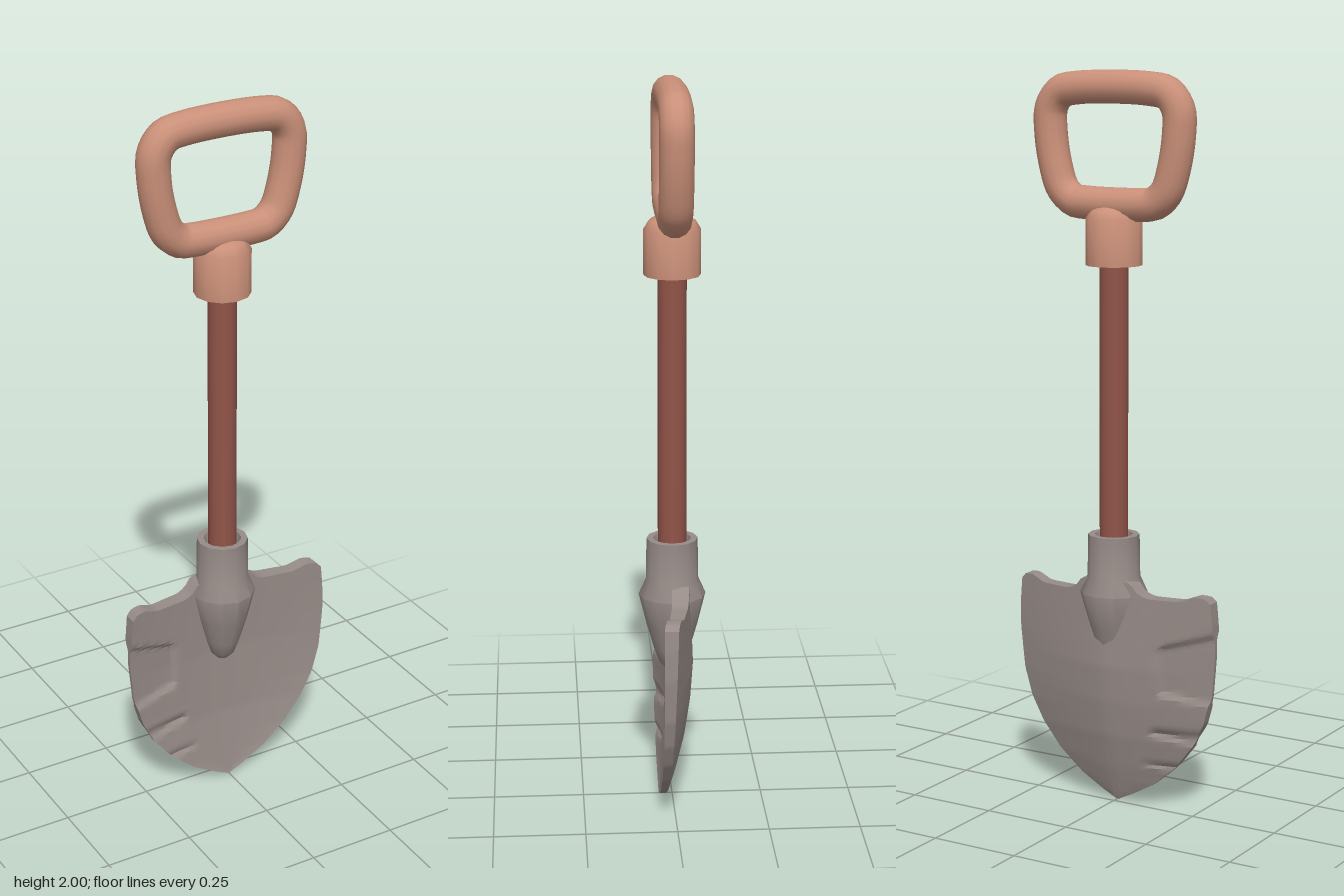
import * as THREE from 'three';
import { toCreasedNormals } from 'three/addons/utils/BufferGeometryUtils.js';

const mat = (name, color) => {
  const m = new THREE.MeshStandardMaterial({ color });
  m.name = name;
  return m;
};

// Piecewise-linear lookup in a list of [key, value] pairs
function lookup(table, k) {
  for (let i = 1; i < table.length; i++) {
    const [a, va] = table[i - 1], [b, vb] = table[i];
    if (k <= b) return va + (vb - va) * Math.max(0, (k - a) / (b - a));
  }
  return table[table.length - 1][1];
}

// Blade tables: half width, back depth and front depth by height; top lip by distance from the middle
const halfWidth = [[0, 0.004], [0.02, 0.045], [0.06, 0.115], [0.12, 0.185], [0.19, 0.24], [0.26, 0.276],
  [0.34, 0.298], [0.46, 0.308], [0.54, 0.306], [0.6, 0.3]];
const backDepth = [[0, 0.018], [0.1, -0.012], [0.2, -0.036], [0.3, -0.051], [0.4, -0.058], [0.6, -0.05]];
const frontDepth = [[0, 0.036], [0.2, 0.01], [0.4, 0], [0.6, 0.002]];
const topLip = [[0, 0.04], [0.25, 0.04], [0.33, 0.01], [0.42, 0], [0.72, 0], [0.86, 0.016], [0.95, 0.015], [1, 0]];

// Dents on the blade's right edge, where the metal is pinched thin
function pinch(x, y) {
  const box = (inner, low, high, soft) =>
    THREE.MathUtils.clamp((inner - x) / 0.015, 0, 1) *
    THREE.MathUtils.clamp(Math.min(y - low, high - y) / soft, 0, 1);
  const t = -x - 0.15;
  return Math.max(
    box(-0.15, 0.33 - t * 0.14, 0.47 + t * 0.3, 0.015),
    box(-0.12, 0.205 - t * 0.15, 0.235, 0.012),
    box(-0.09, 0.11 - t * 0.15, 0.135, 0.012));
}

function bladeGeometry() {
  const cols = 44, rows = 60, ring = 2 * (cols + 1);
  const pos = [], index = [];
  for (let r = 0; r <= rows; r++) {
    const v = (r / rows) ** 1.15, y0 = v * 0.6;
    const w = lookup(halfWidth, y0);
    const lift = THREE.MathUtils.clamp((v - 0.85) / 0.15, 0, 1);
    for (let k = 0; k < ring; k++) {
      const front = k <= cols;
      const u = ((front ? k : ring - 1 - k) / cols) * 2 - 1;
      const x = u * w, a = Math.abs(u);
      const frontZ = THREE.MathUtils.lerp(lookup(frontDepth, y0), 0.038, a * a);
      const edgeBack = THREE.MathUtils.lerp(0.02, 0, v);
      const backZ = THREE.MathUtils.lerp(lookup(backDepth, y0), edgeBack, a ** 1.4);
      const p = pinch(x, y0) * 0.33;
      const z = front ? THREE.MathUtils.lerp(frontZ, backZ, p) : THREE.MathUtils.lerp(backZ, frontZ, p);
      pos.push(x, y0 + lift * lookup(topLip, a), z);
    }
  }
  for (let r = 0; r < rows; r++) {
    for (let k = 0; k < ring; k++) {
      const a = r * ring + k, b = r * ring + (k + 1) % ring;
      index.push(a, b, b + ring, a, b + ring, a + ring);
    }
  }
  // Close the top edge and the point
  for (const r of [0, rows]) {
    for (let k = 0; k < cols; k++) {
      const f = r * ring + k, b = r * ring + ring - 1 - k;
      if (r) index.push(f, f + 1, b - 1, f, b - 1, b);
      else index.push(f, b - 1, f + 1, f, b, b - 1);
    }
  }
  const g = new THREE.BufferGeometry();
  g.setAttribute('position', new THREE.Float32BufferAttribute(pos, 3));
  g.setIndex(index);
  return toCreasedNormals(g, 0.5);
}

function turned(points, sides) {
  const g = new THREE.LatheGeometry(points.map(([r, y]) => new THREE.Vector2(r, y)), sides);
  return toCreasedNormals(g, 0.75);
}

export function createModel() {
  const group = new THREE.Group();
  const metal = mat('grey metal', 0x968b87);
  const wood = mat('red brown wood', 0x915449);
  const grip = mat('tan grip', 0xca9079);
  const add = (name, geometry, material) => {
    const mesh = new THREE.Mesh(geometry, material);
    mesh.name = name;
    group.add(mesh);
    return mesh;
  };

  add('blade', bladeGeometry(), metal);

  // Socket that holds the shaft and tapers into the blade
  add('socket', turned([[0, 0.375], [0.018, 0.38], [0.036, 0.4], [0.05, 0.44], [0.07, 0.51], [0.092, 0.6],
    [0.072, 0.645], [0.07, 0.76], [0.052, 0.76], [0.046, 0.735], [0, 0.735]], 12), metal);

  const shaft = add('shaft', new THREE.CylinderGeometry(0.039, 0.039, 0.85, 16), wood);
  shaft.position.y = 1.125;

  // Collar under the grip, with a hollow lower end
  add('collar', turned([[0, 1.52], [0.052, 1.52], [0.055, 1.492], [0.076, 1.492], [0.076, 1.615],
    [0.062, 1.638], [0.036, 1.652], [0, 1.656]], 12), grip);

  // Rounded D-shaped grip
  const half = [[0.11, 1.957], [0.165, 1.945], [0.195, 1.905], [0.197, 1.84], [0.182, 1.75],
    [0.16, 1.69], [0.125, 1.66], [0.09, 1.655]];
  const loop = [...half, ...half.map(([x, y]) => [-x, y]).reverse()]
    .map(([x, y]) => new THREE.Vector3(x, y, 0));
  const path = new THREE.CatmullRomCurve3(loop, true, 'centripetal');
  add('handleGrip', new THREE.TubeGeometry(path, 80, 0.045, 14, true), grip);

  return group;
}
